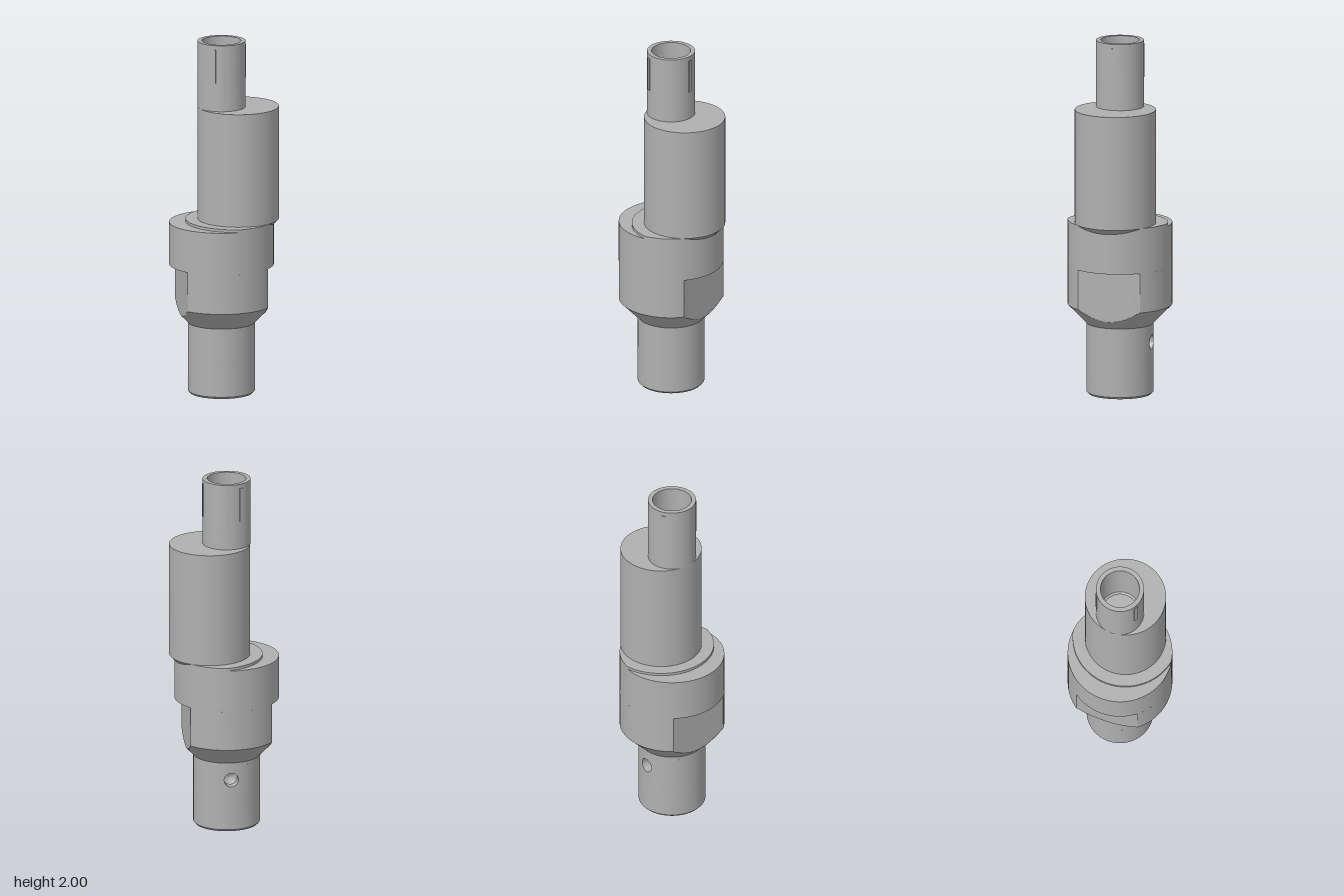
import * as THREE from 'three';
import { toCreasedNormals } from 'three/addons/utils/BufferGeometryUtils.js';

const AXIS = -0.015;   // main axis (shaft, collar, pin)
const OFFSET = 0.08;   // axis of the eccentric journal
const SEG = 96;

export function createModel() {
  const model = new THREE.Group();
  const steel = new THREE.MeshStandardMaterial({ color: 0xb0b0b0 });
  steel.name = 'steel grey';

  const add = (name, geometry, x = AXIS, y = 0) => {
    const mesh = new THREE.Mesh(geometry, steel);
    mesh.name = name;
    mesh.position.set(x, y, 0);
    model.add(mesh);
    return mesh;
  };
  const lathe = (points, seg = SEG) => toCreasedNormals(
    new THREE.LatheGeometry(points.map(p => new THREE.Vector2(...p)), seg), 0.4);
  const cylinder = (name, rTop, rBottom, y0, y1, x) =>
    add(name, new THREE.CylinderGeometry(rTop, rBottom, y1 - y0, SEG), x, (y0 + y1) / 2);

  // Lower shaft: chamfered foot, a band left open for the hole, and a top band
  const R = 0.185, holeY = 0.3, holeR = 0.04, half = 0.08;
  add('shaftFoot', lathe([[0, 0], [0.174, 0], [R, 0.012], [R, holeY - half]]));
  add('shaftBand', new THREE.CylinderGeometry(R, R, half * 2, SEG, 1, true,
    Math.PI + half / R, Math.PI * 2 - 2 * half / R), AXIS, holeY);
  add('shaftTop', new THREE.CylinderGeometry(R, R, 0.41 - holeY - half, SEG, 1, true),
    AXIS, (0.41 + holeY + half) / 2);

  // Wraps a flat geometry onto the back of the shaft
  const wrap = (geometry, rule) => {
    const p = geometry.attributes.position;
    for (let i = 0; i < p.count; i++) {
      const [x, y, depth] = rule(p.getX(i), p.getY(i));
      const a = x / R;
      p.setXYZ(i, R * Math.sin(a), y, R * Math.cos(a) - depth);
    }
    geometry.rotateY(Math.PI);
    return toCreasedNormals(geometry, 0.5);
  };
  // Patch that runs from a round hole out to a square edge
  add('holeSurround', wrap(new THREE.RingGeometry(holeR, half, 64, 6), (x, y) => {
    const rho = Math.hypot(x, y);
    const t = (rho - holeR) / (half - holeR);
    const k = 1 + t * (rho / Math.max(Math.abs(x), Math.abs(y)) - 1);
    return [x * k, y * k, 0];
  }), AXIS, holeY);
  // Blind drilled hole: straight wall, conical end
  add('drilledHole', wrap(new THREE.RingGeometry(0.0002, holeR, 64, 2), (x, y) => {
    const rho = Math.hypot(x, y) / holeR;
    const k = rho > 0.25 && rho < 0.75 ? 1 / rho : 1;
    return [x * k, y * k, rho > 0.75 ? 0 : rho > 0.25 ? 0.05 : 0.07];
  }), AXIS, holeY);

  // Collar: tapered lower half cut by two wrench flats, full round above
  const flat = 0.228, collarR = 0.29;
  const profile = [];
  for (let i = 0; i <= 20; i++) {
    const t = i / 20;
    profile.push(new THREE.Vector2(R + (collarR - R) * t, 0.4 + 0.108 * t));
  }
  profile.push(new THREE.Vector2(collarR, 0.73));
  const hull = new THREE.LatheGeometry(profile, 180);
  const hp = hull.attributes.position;
  for (let i = 0; i < hp.count; i++) {
    hp.setX(i, THREE.MathUtils.clamp(hp.getX(i), -flat, flat));
  }
  add('wrenchFlats', toCreasedNormals(hull, 0.4));
  cylinder('collar', collarR, collarR, 0.73, 0.97);

  // Raised step: overlap of the collar circle and a circle about the offset axis
  const stepR = 0.293, cutX = 0.0233, cutZ = 0.2875;
  const a = Math.atan2(cutZ, cutX - AXIS), b = Math.atan2(cutZ, cutX - OFFSET);
  const lens = new THREE.Shape();
  lens.absarc(AXIS, 0, collarR, -a, a, false);
  lens.absarc(OFFSET, 0, stepR, b, Math.PI * 2 - b, false);
  const step = new THREE.ExtrudeGeometry(lens, { depth: 0.015, bevelEnabled: false, curveSegments: 48 });
  step.rotateX(-Math.PI / 2);
  add('collarStep', toCreasedNormals(step, 0.4), 0, 0.97);

  // Eccentric journal with a chamfered underside
  cylinder('journalChamfer', 0.225, 0.19, 0.95, 0.985, OFFSET);
  cylinder('journal', 0.225, 0.225, 0.985, 1.625, OFFSET);

  // Hollow pin on the main axis
  const pinR = 0.133;
  add('hollowPin', lathe([[pinR, 1.625], [pinR, 2], [0.108, 2], [0.108, 1.66], [0.098, 1.65], [0, 1.65]]));

  // Three thin ribs around the pin
  for (let i = 0; i < 3; i++) {
    const angle = i * Math.PI * 2 / 3;
    const rib = new THREE.BoxGeometry(0.01, 0.19, 0.024);
    rib.translate(pinR - 0.001, 1.88, 0);
    rib.rotateY(angle);
    add('pinRib', rib);
  }
  return model;
}
